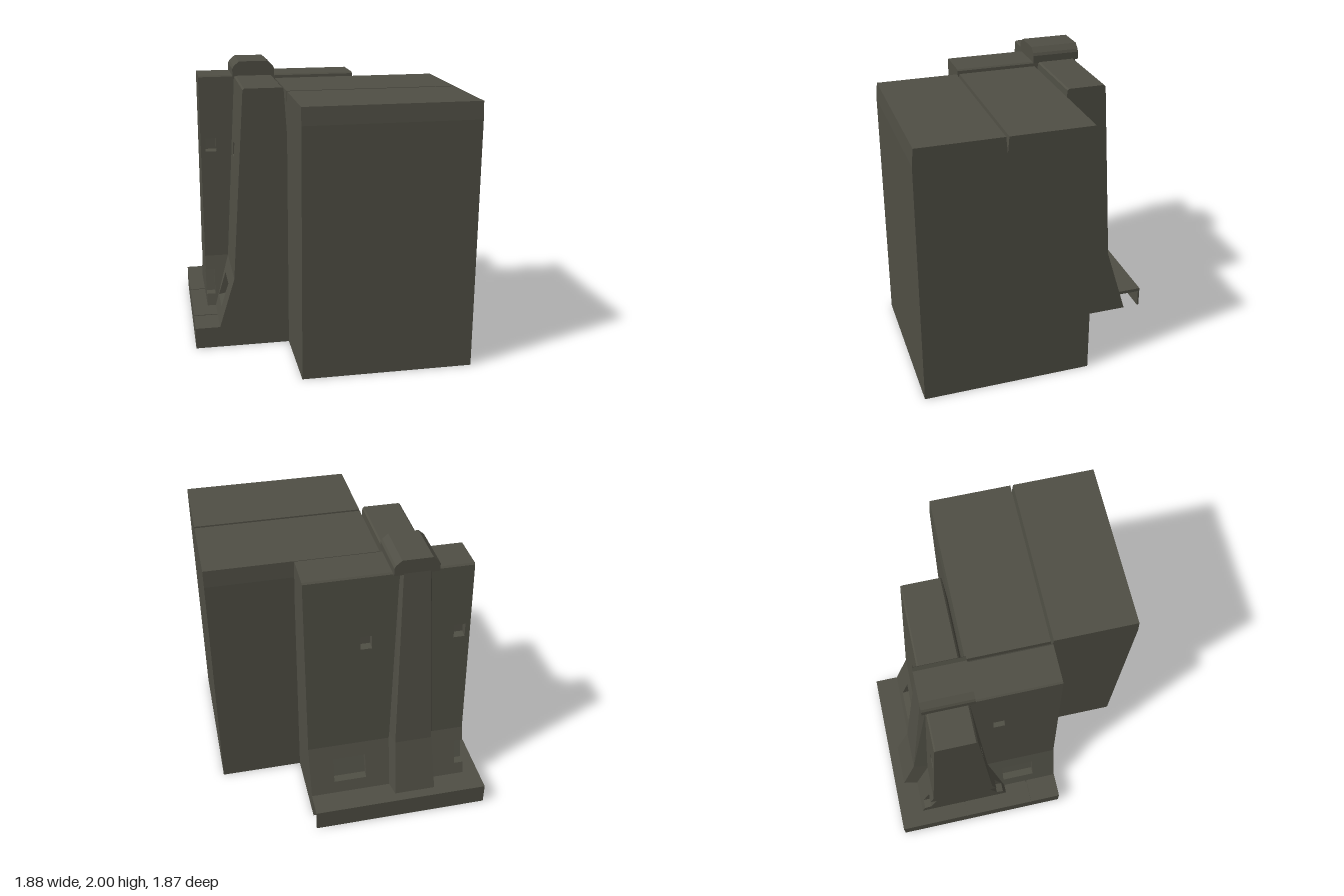
import * as THREE from 'three';
import { ConvexGeometry } from 'three/addons/geometries/ConvexGeometry.js';

const C = -0.42; // centre line of both walls, in x and in z
const concrete = new THREE.MeshStandardMaterial({ color: 0x4f4e44 });

// Half width of a wall at height y: flared foot, gentle taper above
const half = (y) => (y < 0.52 ? 0.39 - (0.16 * y) / 0.52 : 0.23 - (0.09 * (y - 0.52)) / 1.375);

function add(parent, name, geometry) {
  const mesh = new THREE.Mesh(geometry, concrete);
  mesh.name = name;
  parent.add(mesh);
  return mesh;
}

function box(parent, name, x0, x1, y0, y1, z0, z1) {
  const g = new THREE.BoxGeometry(x1 - x0, y1 - y0, z1 - z0);
  g.translate((x0 + x1) / 2, (y0 + y1) / 2, (z0 + z1) / 2);
  return add(parent, name, g);
}

function extrude(points, depth) {
  const shape = new THREE.Shape(points.map(([x, y]) => new THREE.Vector2(x, y)));
  return new THREE.ExtrudeGeometry(shape, { depth, bevelEnabled: false });
}

// Mirrored wall section, with optional recesses cut into both sides
function section(bottom, recesses) {
  const side = [[half(bottom), bottom]];
  const cut = ([a, b]) => side.push(
    [half(a), a], [half(a) - 0.05, a + 0.01], [half(b) - 0.05, b - 0.01], [half(b), b]);
  if (recesses.low) cut([0.24, 0.42]);
  side.push([half(0.52), 0.52]);
  if (recesses.high) cut([1.33, 1.43]);
  side.push([half(1.885), 1.885], [half(1.895) - 0.01, 1.895]);
  return [...side, ...side.map(([u, y]) => [-u, y]).reverse()];
}

// Wall built along its length in slices, so recesses span only their own ranges
function wall(name, start, end, lowRanges, highRanges) {
  const group = new THREE.Group();
  group.name = name;
  const stops = [start, end, end - 0.03, ...lowRanges.flat(), ...highRanges.flat()];
  const cuts = [...new Set(stops)].filter((s) => s >= start && s <= end).sort((a, b) => a - b);
  for (let i = 0; i < cuts.length - 1; i++) {
    const mid = (cuts[i] + cuts[i + 1]) / 2;
    const within = (ranges) => ranges.some(([a, b]) => mid > a && mid < b);
    const bottom = mid > end - 0.03 ? 0 : 0.13;
    const g = extrude(section(bottom, { low: within(lowRanges), high: within(highRanges) }),
      cuts[i + 1] - cuts[i]);
    g.translate(0, 0, cuts[i]);
    add(group, name + 'Slice', g);
  }
  return group;
}

export function createModel() {
  const model = new THREE.Group();

  // Two large blocks, slightly drawn in along their top edges
  [[-0.255, 0.338], [0.338, 0.937]].forEach(([z0, z1]) => {
    const g = extrude([[z0, 0], [z1, 0], [z1, 1.75], [z1 - 0.01, 1.87], [z0 + 0.01, 1.87], [z0, 1.75]], 1.195);
    g.rotateY(-Math.PI / 2);
    g.translate(0.937, 0, 0);
    add(model, 'block', g);
  });

  // Back wall along x, passing the corner as a stub, and side wall along z
  const backWall = wall('backWall', -0.825, 0.335,
    [[-0.825, -0.76], [-0.08, 0.16]], [[-0.79, -0.71], [-0.13, -0.05]]);
  backWall.rotation.y = Math.PI / 2;
  backWall.position.z = C;
  model.add(backWall);

  const sideWall = wall('sideWall', C, 0.335, [[-0.08, 0.16]], [[-0.13, -0.05]]);
  sideWall.position.x = C;
  model.add(sideWall);

  // Flared corner pillar on the back
  const rows = [[0, -0.91, 0.155], [0.56, -0.75, 0.135], [1.9, -0.59, 0.09]].map(([y, z, w]) => {
    const root = C - half(y) + 0.01;
    return [[-w - 0.02, root], [-w, z], [w, z], [w + 0.02, root]]
      .map(([x, pz]) => new THREE.Vector3(C + x, y, pz));
  });
  for (let i = 0; i < 2; i++) {
    add(model, 'cornerPillar', new ConvexGeometry([...rows[i], ...rows[i + 1]]));
  }

  // Chamfered cap over the corner
  const cap = extrude([[-0.155, 1.89], [0.155, 1.89], [0.155, 1.945], [0.145, 1.965],
    [0.105, 2], [-0.105, 2], [-0.145, 1.965], [-0.155, 1.945]], 0.35);
  cap.translate(C, 0, -0.59);
  add(model, 'cornerCap', cap);

  // L-shaped hollow base: top plates with narrow joints, outer skirt, ribs below
  box(model, 'basePlate', -0.94, 0.335, 0.13, 0.155, -0.937, C - 0.005);
  box(model, 'basePlate', -0.94, -0.26, 0.13, 0.155, C + 0.005, 0.095);
  box(model, 'basePlate', -0.94, -0.26, 0.13, 0.155, 0.105, 0.335);
  box(model, 'baseSkirt', -0.94, 0.335, 0, 0.14, -0.937, -0.925);
  box(model, 'baseSkirt', -0.94, -0.928, 0, 0.14, -0.937, 0.335);
  box(model, 'baseSkirt', -0.94, -0.26, 0, 0.14, 0.323, 0.335);
  for (const x of [-0.68, C, -0.1, 0.1]) {
    box(model, 'baseRib', x - 0.008, x + 0.008, 0, 0.135, -0.93, x < -0.26 ? 0.33 : -0.255);
  }
  for (const z of [-0.68, C, -0.1, 0.1]) {
    box(model, 'baseRib', -0.93, z < -0.26 ? 0.32 : -0.26, 0, 0.135, z - 0.008, z + 0.008);
  }

  return model;
}
